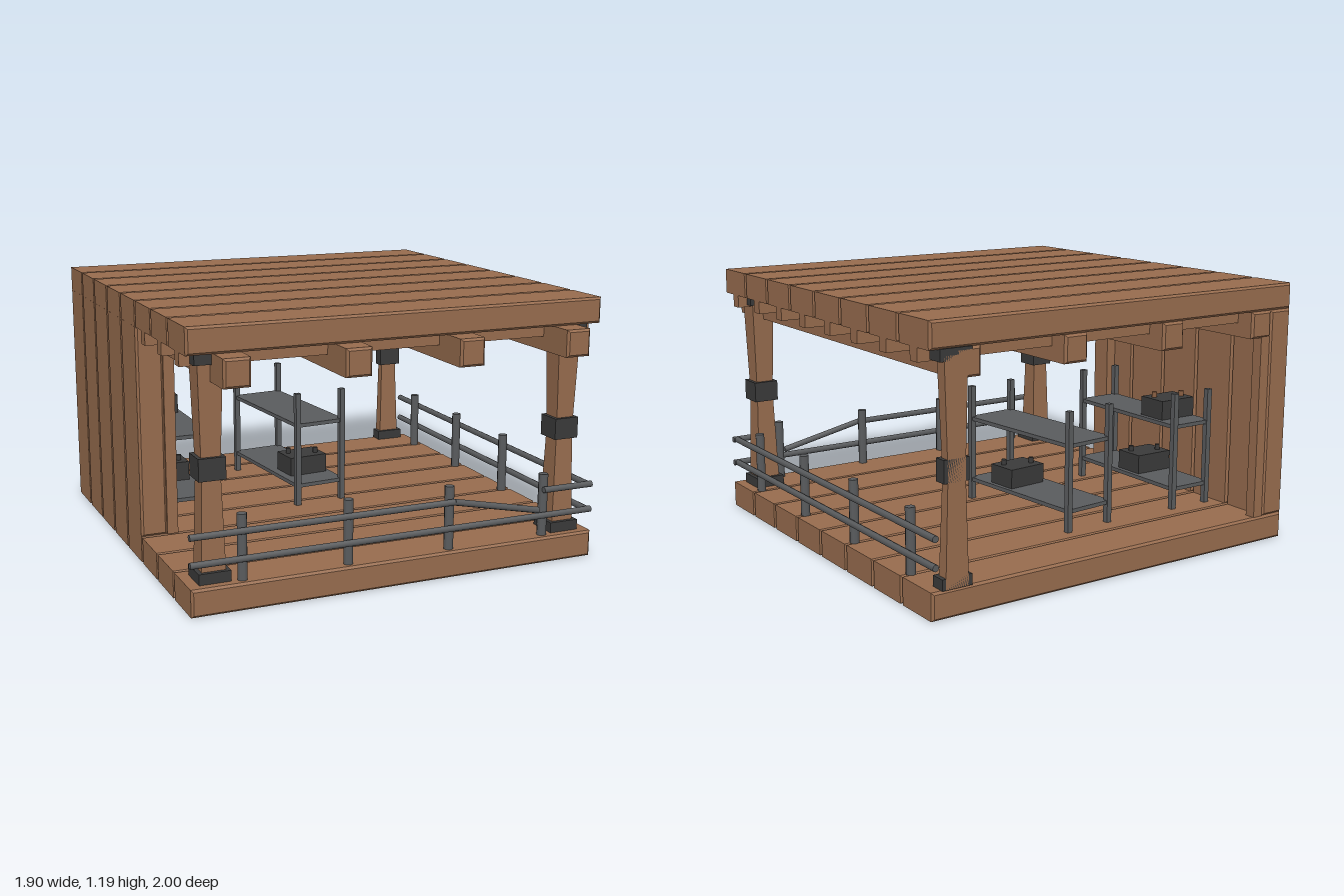
import * as THREE from 'three';

const mat = (name, color) => Object.assign(new THREE.MeshStandardMaterial({ color }), { name });

export function createModel() {
  const wood = mat('wood', 0x976c4e);
  const steel = mat('steel', 0x5a5c5e);
  const iron = mat('iron', 0x3a3a3a);
  const copper = mat('copper', 0x8a5f42);
  const model = new THREE.Group();
  model.name = 'porch';

  const group = (name, parent = model) => {
    const g = new THREE.Group();
    g.name = name;
    parent.add(g);
    return g;
  };
  const add = (parent, name, geometry, material, x, y, z) => {
    const m = new THREE.Mesh(geometry, material);
    m.name = name;
    m.position.set(x, y, z);
    parent.add(m);
    return m;
  };
  const flat = (geometry) => {
    const g = geometry.index ? geometry.toNonIndexed() : geometry;
    g.computeVertexNormals();
    return g;
  };
  const box = (w, h, d) => new THREE.BoxGeometry(w, h, d);

  // Box with chamfered edges, centred on its origin
  const plank = (w, h, d, b = 0.01) => {
    const x = w / 2 - b, y = h / 2 - b;
    const s = new THREE.Shape([[-x, -y], [x, -y], [x, y], [-x, y]].map((p) => new THREE.Vector2(...p)));
    const g = new THREE.ExtrudeGeometry(s, {
      depth: d - 2 * b, bevelEnabled: true, bevelSize: b, bevelThickness: b, bevelSegments: 1,
    });
    return flat(g.translate(0, 0, b - d / 2));
  };

  // Round bar between two points
  const bar = (parent, name, a, b, r, material = steel) => {
    const p = new THREE.Vector3(...a), q = new THREE.Vector3(...b);
    const dir = q.clone().sub(p);
    const m = add(parent, name, new THREE.CylinderGeometry(r, r, dir.length(), 8), material, 0, 0, 0);
    m.position.copy(p).add(q).multiplyScalar(0.5);
    m.quaternion.setFromUnitVectors(new THREE.Vector3(0, 1, 0), dir.normalize());
  };

  // Floor and roof planks, with a rafter under each roof plank
  const floor = group('floor'), roof = group('roof');
  const step = 1.9 / 8;
  for (let i = 0; i < 8; i++) {
    const z = -1 + step * (i + 0.5);
    add(floor, 'floorPlank', plank(1.9, 0.12, step), wood, 0, 0.06, z);
    add(roof, 'roofPlank', plank(1.9, 0.115, step), wood, 0, 1.133, z);
    add(roof, 'rafter', box(1.9, 0.06, 0.055), wood, 0, 1.048, z);
  }
  for (const x of [-0.775, -0.258, 0.258, 0.775]) {
    add(roof, 'roofBeam', plank(0.115, 0.12, 2), wood, x, 1.015, 0);
  }

  // Side wall of upright planks with inner battens
  const wall = group('sideWall');
  for (let i = 0; i < 5; i++) {
    add(wall, 'wallPlank', plank(0.12, 0.955, step), wood, -0.89, 0.5975, -1 + step * (i + 0.5));
  }
  add(wall, 'wallBatten', box(0.05, 0.84, 0.1), wood, -0.805, 0.54, 0.138);
  add(wall, 'wallBatten', box(0.05, 0.84, 0.05), wood, -0.805, 0.54, -0.97);

  // Waisted posts with iron fittings; the rear one is cut flush with the back edge
  const cut = (geometry, z) => {
    const p = geometry.attributes.position;
    for (let i = 0; i < p.count; i++) p.setZ(i, Math.max(p.getZ(i), -1 - z));
    return flat(geometry);
  };
  const postGeometry = () => {
    const g = new THREE.BoxGeometry(0.108, 0.93, 0.108, 1, 2, 1);
    const p = g.attributes.position;
    for (let i = 0; i < p.count; i++) {
      if (Math.abs(p.getY(i)) < 0.01) p.setXYZ(i, p.getX(i) * 0.75, 0, p.getZ(i) * 0.75);
    }
    return g;
  };
  for (const [x, z] of [[-0.833, 0.787], [0.833, 0.787], [0.833, -1]]) {
    const post = group('cornerPost');
    add(post, 'postShaft', cut(postGeometry(), z), wood, x, 0.585, z);
    add(post, 'postBase', cut(box(0.14, 0.048, 0.14), z), iron, x, 0.143, z);
    add(post, 'postBand', cut(box(0.117, 0.095, 0.117), z), iron, x, 0.598, z);
    add(post, 'postCap', cut(box(0.145, 0.05, 0.15), z), iron, x, 1.053, z);
  }

  // Railings along the front and the left side, with one broken rail
  const railing = group('railing');
  const R = 0.015, low = 0.22, high = 0.338;
  for (const x of [-0.715, -0.24, 0.24, 0.715]) {
    bar(railing, 'railPost', [x, 0.12, 0.855], [x, 0.405, 0.855], 0.022);
  }
  for (const z of [0.67, 0.19, -0.283, -0.76]) {
    bar(railing, 'railPost', [0.903, 0.12, z], [0.903, 0.405, z], 0.022);
  }
  bar(railing, 'frontLowerRail', [-0.95, low, 0.885], [0.95, low, 0.885], R);
  bar(railing, 'frontUpperRail', [-0.95, high, 0.885], [0.25, high, 0.885], R);
  bar(railing, 'brokenRail', [0.25, high, 0.885], [0.675, 0.248, 0.885], R);
  bar(railing, 'frontUpperRailStub', [0.7, high, 0.885], [0.95, high, 0.885], R);
  for (const y of [low, high]) bar(railing, 'sideRail', [0.932, y, 0.885], [0.932, y, -1], R);

  // Metal shelf units
  const shelfUnit = (x, z, turn, w) => {
    const unit = group('shelfUnit');
    unit.position.set(x, 0, z);
    unit.rotation.y = turn;
    for (const sx of [-1, 1]) for (const sz of [-1, 1]) {
      add(unit, 'shelfLeg', box(0.026, 0.55, 0.026), steel, sx * (w / 2 - 0.013), 0.395, sz * 0.342);
    }
    for (const y of [0.215, 0.513]) add(unit, 'shelfBoard', box(w - 0.01, 0.018, 0.7), steel, 0, y, 0);
  };
  shelfUnit(-0.037, -0.335, 0.09, 0.265);
  shelfUnit(-0.667, -0.335, 0, 0.23);

  // Batteries on the shelves, each with two terminals
  const battery = (x, y, z, turn, terminal) => {
    const b = group('battery');
    b.position.set(x, y, z);
    b.rotation.y = turn;
    add(b, 'batteryCase', box(0.195, 0.09, 0.15), iron, 0, 0.045, 0);
    for (const s of [-1, 1]) {
      add(b, 'terminal', new THREE.CylinderGeometry(0.012, 0.012, 0.026, 8), terminal, s * 0.062, 0.103, s * 0.025);
    }
  };
  battery(-0.677, 0.522, -0.5, 0, copper);
  battery(-0.677, 0.224, -0.34, 0, iron);
  battery(-0.015, 0.224, -0.2, 0.09, iron);

  // Hanging lamp
  const lamp = group('lamp');
  bar(lamp, 'lampCord', [0, 0.97, -0.045], [0, 1.08, -0.045], 0.008, iron);
  const shade = new THREE.CylinderGeometry(0.014, 0.118, 0.058, 12);
  add(lamp, 'lampShade', shade, steel, 0, 0.948, -0.045);
  add(lamp, 'lampBulb', new THREE.SphereGeometry(0.024, 10, 8), copper, 0, 0.915, -0.045);

  return model;
}
